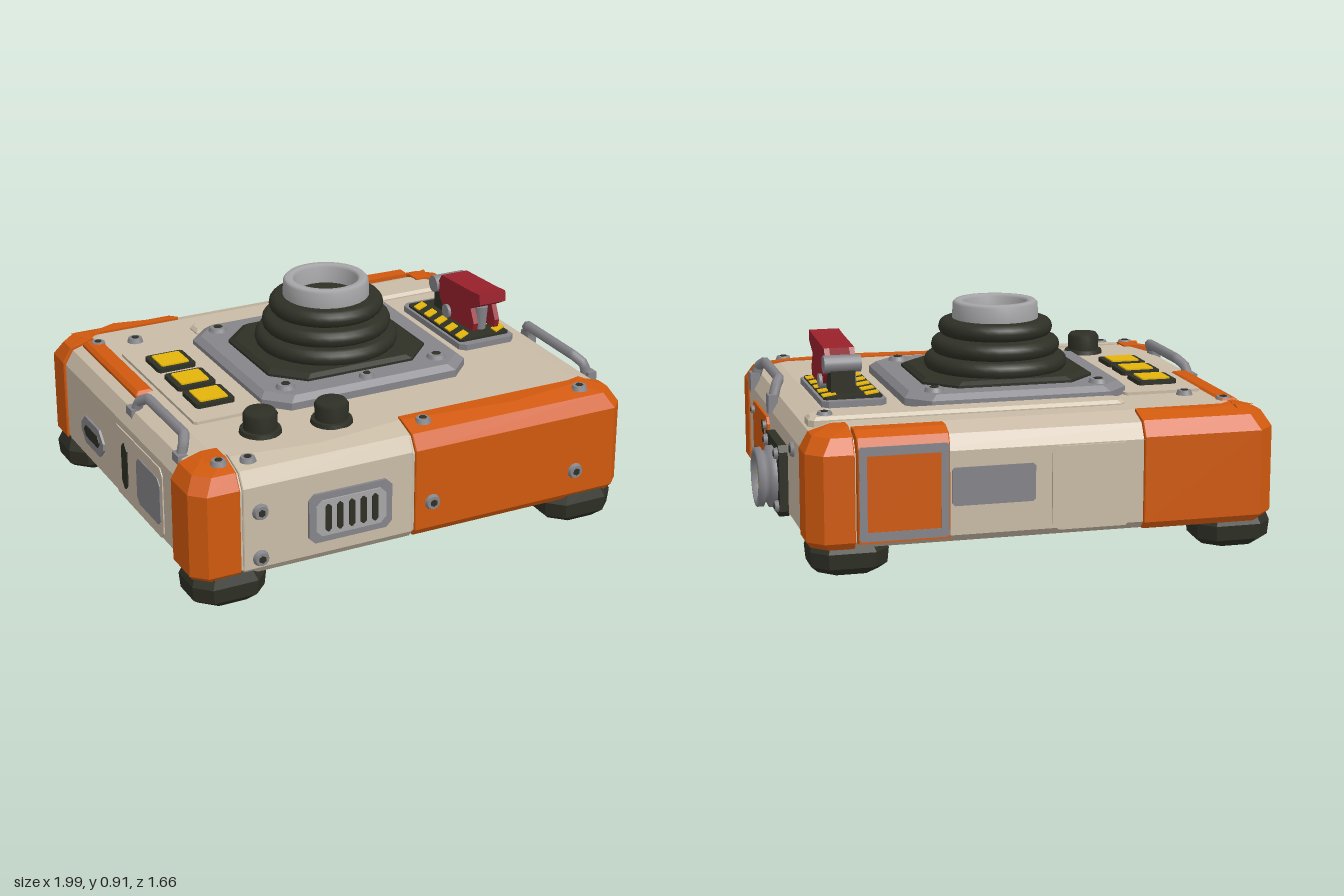
import * as THREE from 'three';

const paint = (name, color) => Object.assign(new THREE.MeshStandardMaterial({ color }), { name });

export function createModel() {
  const root = new THREE.Group();
  root.name = 'controlBox';
  const beige = paint('beige shell', 0xc9bba6), orange = paint('orange guard', 0xd0590e);
  const dark = paint('dark rubber', 0x2e2f25), grey = paint('grey metal', 0x85858a);
  const light = paint('light collar', 0xa6a6a8), red = paint('red cover', 0x98202a);
  const yellow = paint('yellow', 0xe3b40a);
  const UP = new THREE.Vector3(0, 1, 0);

  const add = (name, geo, mat, x = 0, y = 0, z = 0) => {
    const m = new THREE.Mesh(geo, mat);
    m.name = name;
    m.position.set(x, y, z);
    root.add(m);
    return m;
  };

  // Chamfered block from stacked rings; levels are [y, inset], sides and corners set which edges taper
  function loft(name, mat, [x0, x1, z0, z1], levels, c = [0.05, 0.05, 0.05, 0.05], sides = [1, 1, 1, 1]) {
    const rings = levels.map(([y, i]) => {
      const a = x0 + i * sides[0], b = x1 - i * sides[1], d = z0 + i * sides[2], e = z1 - i * sides[3];
      return [[a, e - c[0]], [a + c[0], e], [b - c[1], e], [b, e - c[1]],
        [b, d + c[2]], [b - c[2], d], [a + c[3], d], [a, d + c[3]]].map(p => [p[0], y, p[1]]);
    });
    const pos = [], tri = (...p) => p.forEach(v => pos.push(...v));
    const top = rings[rings.length - 1], mid = r => [(x0 + x1) / 2, r[0][1], (z0 + z1) / 2];
    for (let i = 0; i < 8; i++) {
      const j = (i + 1) % 8;
      for (let k = 0; k < rings.length - 1; k++) {
        tri(rings[k][i], rings[k][j], rings[k + 1][j]);
        tri(rings[k][i], rings[k + 1][j], rings[k + 1][i]);
      }
      tri(mid(top), top[i], top[j]);
      tri(mid(rings[0]), rings[0][j], rings[0][i]);
    }
    const g = new THREE.BufferGeometry();
    g.setAttribute('position', new THREE.Float32BufferAttribute(pos, 3));
    g.computeVertexNormals();
    return add(name, g, mat);
  }

  // Flat outline, extruded outward from one face of the box
  const turn = { front: [0, 0], right: [0, Math.PI / 2], back: [0, Math.PI], left: [0, -Math.PI / 2], top: [-Math.PI / 2, 0] };
  function poly(name, mat, face, pts, depth, x, y, z) {
    const s = new THREE.Shape(pts.map(p => new THREE.Vector2(...p)));
    const m = add(name, new THREE.ExtrudeGeometry(s, { depth, bevelEnabled: false }), mat, x, y, z);
    m.rotation.set(turn[face][0], turn[face][1], 0);
    return m;
  }
  const plate = (name, mat, face, w, h, depth, x, y, z, c = 0.025) => {
    const a = w / 2, b = h / 2;
    return poly(name, mat, face, [[-a + c, -b], [a - c, -b], [a, -b + c], [a, b - c],
      [a - c, b], [-a + c, b], [-a, b - c], [-a, -b + c]], depth, x, y, z);
  };
  const dirs = { front: [0, 0, 1], right: [1, 0, 0], back: [0, 0, -1], left: [-1, 0, 0], top: [0, 1, 0] };
  function drum(name, mat, face, r0, r1, h, x, y, z, n = 16) {
    const d = new THREE.Vector3(...dirs[face]);
    const m = add(name, new THREE.CylinderGeometry(r1, r0, h, n), mat);
    m.quaternion.setFromUnitVectors(UP, d);
    m.position.set(x, y, z).addScaledVector(d, h / 2);
  }
  function screw(face, x, y, z, r = 0.034) {
    const d = dirs[face];
    drum('screw', grey, face, r, r * 0.8, 0.018, x, y, z, 12);
    drum('screwSocket', dark, face, r * 0.45, r * 0.45, 0.003, x + d[0] * 0.018, y + d[1] * 0.018, z + d[2] * 0.018, 6);
  }
  const lathe = (name, mat, pts, x, z, n = 32) =>
    add(name, new THREE.LatheGeometry(pts.map(p => new THREE.Vector2(...p)), n), mat, x, 0, z);

  // Shell and corner guards
  loft('body', beige, [-0.96, 0.89, -0.785, 0.805], [[0.11, 0.03], [0.14, 0], [0.47, 0], [0.53, 0.035], [0.56, 0.13]]);
  const wrap = [[0.112, 0.02], [0.14, 0], [0.48, 0], [0.54, 0.035], [0.566, 0.12]], s = 0.004;
  loft('frontLeftGuard', orange, [-0.99, -0.8, 0.6, 0.815], wrap, [0.055, s, s, s], [1, 0, 0, 1]);
  loft('frontPanel', orange, [-0.06, 0.898, 0.66, 0.815], wrap, [s, 0.05, s, s], [0, 1, 0, 1]);
  loft('backRightGuard', orange, [0.72, 0.9, -0.795, -0.61], wrap, [s, s, 0.06, s], [0, 1, 1, 0]);
  loft('backPanel', orange, [-0.97, -0.42, -0.8, -0.665], wrap, [s, s, s, 0.07], [1, 0, 1, 0]);
  loft('backCornerGuard', orange, [-0.97, -0.83, -0.8, -0.61], wrap, [s, s, s, 0.07], [1, 0, 1, 0]);
  loft('frontPillar', beige, [-0.79, -0.07, 0.66, 0.813], wrap, [s, s, s, s], [0, 0, 0, 1]);
  loft('leftTopStrip', orange, [-0.885, -0.8, -0.6, 0], [[0.53, 0], [0.555, 0], [0.568, 0.015]], [s, s, s, s]);
  loft('backTopRail', beige, [-0.42, 0.85, -0.56, -0.45], [[0.54, 0], [0.565, 0], [0.578, 0.012]], [0.02, 0.02, 0.02, 0.02]);
  loft('buttonPanel', beige, [-0.79, -0.47, -0.4, 0.37], [[0.54, 0], [0.572, 0]], [0.01, 0.01, 0.01, 0.01]);
  loft('backPlate', orange, [0.36, 0.715, -0.82, -0.69], [[0.14, 0], [0.5, 0], [0.545, 0.02], [0.566, 0.07]], [s, s, s, s], [0, 0, 1, 0]);

  // Feet
  for (const x of [-0.98, 0.575]) for (const z of [-0.765, 0.565])
    loft('foot', dark, [x, x + 0.305, z, z + 0.255], [[0, 0.035], [0.03, 0.005], [0.09, 0], [0.145, 0.02]], [0.06, 0.06, 0.06, 0.06]);

  // Front vent
  plate('ventFrame', grey, 'front', 0.355, 0.205, 0.02, -0.345, 0.295, 0.805);
  plate('ventFace', light, 'front', 0.3, 0.15, 0.006, -0.345, 0.295, 0.825);
  for (let i = 0; i < 5; i++) plate('ventSlot', dark, 'front', 0.026, 0.115, 0.004, -0.445 + i * 0.05, 0.295, 0.831, 0.01);

  // Right side: orange hatch with marks, and round connector
  plate('hatch', orange, 'right', 0.385, 0.28, 0.016, 0.885, 0.29, 0.32);
  for (const [z, y] of [[0.23, 0.37], [0.42, 0.21]])
    poly('hatchMark', dark, 'right', [[-0.045, 0.025], [-0.02, -0.02], [0.045, -0.028], [0.03, 0.022]], 0.004, 0.901, y, z);
  for (const z of [0.165, 0.475]) for (const y of [0.185, 0.395]) screw('right', 0.897, y, z, 0.019);
  plate('connectorPlate', dark, 'right', 0.33, 0.29, 0.04, 0.885, 0.265, -0.135);
  for (const z of [-0.01, -0.26]) for (const y of [0.16, 0.375]) screw('right', 0.922, y, z, 0.026);
  const barrel = lathe('connectorRing', grey, [[0.125, 0], [0.125, 0.025], [0.105, 0.03], [0.105, 0.045], [0.12, 0.05],
    [0.12, 0.075], [0.095, 0.078], [0.09, 0.03]], 0, -0.145);
  barrel.position.set(0.922, 0.255, -0.145);
  barrel.rotation.z = -Math.PI / 2;
  drum('connectorCore', dark, 'right', 0.092, 0.092, 0.045, 0.92, 0.255, -0.145, 20);
  for (let i = 0; i < 9; i++) {
    const a = i * Math.PI * 2 / 9;
    drum('connectorPin', yellow, 'right', 0.008, 0.008, 0.015, 0.965, 0.255 + 0.06 * Math.sin(a), -0.145 + 0.06 * Math.cos(a), 6);
  }
  screw('right', 0.885, 0.43, -0.43, 0.034);

  // Left side: oval port and service recess
  plate('ovalPort', grey, 'left', 0.25, 0.12, 0.015, -0.955, 0.27, -0.3, 0.045);
  plate('ovalPortInset', dark, 'left', 0.17, 0.05, 0.003, -0.97, 0.27, -0.3, 0.02);
  plate('recessFrame', beige, 'left', 0.5, 0.3, 0.01, -0.955, 0.29, 0.2);
  plate('recessPanel', grey, 'left', 0.24, 0.2, 0.004, -0.965, 0.29, 0.31);
  plate('recessSlot', dark, 'left', 0.06, 0.2, 0.004, -0.965, 0.29, 0.06);

  // Back: framed plate and inset panel
  for (const y of [0.165, 0.495]) plate('backPlateTrim', grey, 'back', 0.35, 0.035, 0.006, 0.537, y, -0.816, 0.01);
  for (const x of [0.38, 0.695]) plate('backPlateTrim', grey, 'back', 0.03, 0.35, 0.006, x, 0.33, -0.816, 0.01);
  plate('backInset', grey, 'back', 0.33, 0.15, 0.006, 0.18, 0.33, -0.783, 0.01);
  plate('backPad', beige, 'back', 0.32, 0.33, 0.012, -0.21, 0.3, -0.783);

  // Front and top screws
  for (const [x, y] of [[-0.72, 0.375], [-0.72, 0.18], [0.015, 0.25], [0.67, 0.24]]) screw('front', x, y, 0.812);
  for (const [x, z] of [[-0.69, -0.49], [0.78, -0.51], [-0.83, -0.56], [-0.73, 0.73], [0.02, 0.72], [0.73, 0.73], [-0.84, 0.71]])
    screw('top', x, Math.abs(z) < 0.53 ? 0.572 : 0.553, z);

  // Side handles
  for (const k of [-1, 1]) {
    const off = k < 0 ? -0.035 : 0.0, path = new THREE.CurvePath();
    const pts = [[0.885, 0.5, 0.56], [0.865, 0.57, 0.55], [0.845, 0.592, 0.51], [0.845, 0.592, 0.15], [0.865, 0.57, 0.11], [0.885, 0.5, 0.09]]
      .map(p => new THREE.Vector3(k * p[0] + off, p[1], p[2] - (k < 0 ? 0.03 : 0)));
    for (let i = 0; i < 5; i++) path.add(new THREE.LineCurve3(pts[i], pts[i + 1]));
    add('handle', new THREE.TubeGeometry(path, 40, 0.022, 8), grey);
    for (const i of [0, 5]) add('handleFoot', new THREE.BoxGeometry(0.04, 0.08, 0.06), grey, pts[i].x, 0.5, pts[i].z);
  }

  // Joystick base, bellows and collar
  const cx = -0.03, cz = -0.02, q = [0.09, 0.09, 0.09, 0.09];
  loft('joystickBase', grey, [-0.485, 0.43, -0.445, 0.415], [[0.55, 0], [0.59, 0], [0.612, 0.025]], q);
  loft('bellowsFlange', dark, [-0.385, 0.325, -0.335, 0.295], [[0.6, 0], [0.622, 0], [0.635, 0.02]], [0.12, 0.12, 0.12, 0.12]);
  for (const x of [-0.37, 0.31]) for (const z of [-0.355, 0.305]) screw('top', x, 0.61, z, 0.042);
  screw('top', -0.035, 0.61, 0.355, 0.034);
  const folds = [[0.3, 0.62]];
  [[0.295, 0.66], [0.265, 0.728], [0.235, 0.802]].forEach(([r, y]) => {
    for (let i = -3; i <= 3; i++) folds.push([r - 0.03 + 0.03 * Math.cos(i * 0.5), y + 0.034 * Math.sin(i * 0.5)]);
    folds.push([r - 0.075, y + 0.037]);
  });
  lathe('bellows', dark, folds, cx, cz);
  lathe('collar', light, [[0.172, 0.825], [0.178, 0.84], [0.175, 0.9], [0.165, 0.911], [0.14, 0.911], [0.13, 0.9], [0.125, 0.83]], cx, cz);
  drum('collarFloor', dark, 'top', 0.15, 0.15, 0.02, cx, 0.815, cz, 24);

  // Yellow push buttons
  for (const z of [-0.205, 0, 0.185]) {
    plate('buttonFrame', dark, 'top', 0.165, 0.155, 0.02, -0.65, 0.57, z, 0.01);
    plate('button', yellow, 'top', 0.12, 0.115, 0.006, -0.65, 0.59, z, 0.005);
  }

  // Rotary knobs
  for (const [x, z] of [[-0.585, 0.53], [-0.3, 0.57]]) {
    drum('knobSkirt', dark, 'top', 0.085, 0.08, 0.022, x, 0.555, z, 20);
    lathe('knob', dark, [[0.066, 0.57], [0.068, 0.635], [0.058, 0.65], [0, 0.65]], x, z, 20);
  }

  // Guarded switch with hazard-striped base
  plate('switchFrame', grey, 'top', 0.26, 0.53, 0.03, 0.622, 0.555, -0.065);
  plate('switchBase', dark, 'top', 0.235, 0.46, 0.01, 0.622, 0.585, -0.065, 0.01);
  for (const x of [0.54, 0.713]) for (let i = 0; i < 5; i++)
    poly('hazardStripe', yellow, 'top', [[-0.03, -0.04], [0.03, -0.005], [0.03, 0.04], [-0.03, 0.005]], 0.005, x, 0.595, -0.245 + i * 0.09);
  const cheek = [[-0.175, 0.74], [-0.1, 0.7], [-0.13, 0.64], [-0.12, 0.605], [0.1, 0.595], [0.16, 0.66], [0.18, 0.72], [0.15, 0.765], [-0.1, 0.778], [-0.17, 0.785]];
  const lid = [[-0.175, 0.74], [-0.1, 0.7], [0.16, 0.69], [0.15, 0.765], [-0.1, 0.778], [-0.17, 0.785]];
  poly('switchCoverSide', red, 'right', cheek, 0.022, 0.588, 0, 0);
  poly('switchCoverSide', red, 'right', cheek, 0.022, 0.69, 0, 0);
  poly('switchCoverTop', red, 'right', lid, 0.08, 0.61, 0, 0);
  drum('switchLever', grey, 'top', 0.022, 0.03, 0.1, 0.65, 0.595, 0.08, 12);
  drum('switchHinge', grey, 'right', 0.036, 0.036, 0.15, 0.575, 0.71, -0.2);
  drum('switchPin', grey, 'right', 0.03, 0.03, 0.15, 0.575, 0.622, -0.09);
  add('switchBracket', new THREE.BoxGeometry(0.1, 0.11, 0.1), dark, 0.65, 0.63, -0.18);

  for (const m of [grey, light]) m.side = THREE.DoubleSide;
  return root;
}
